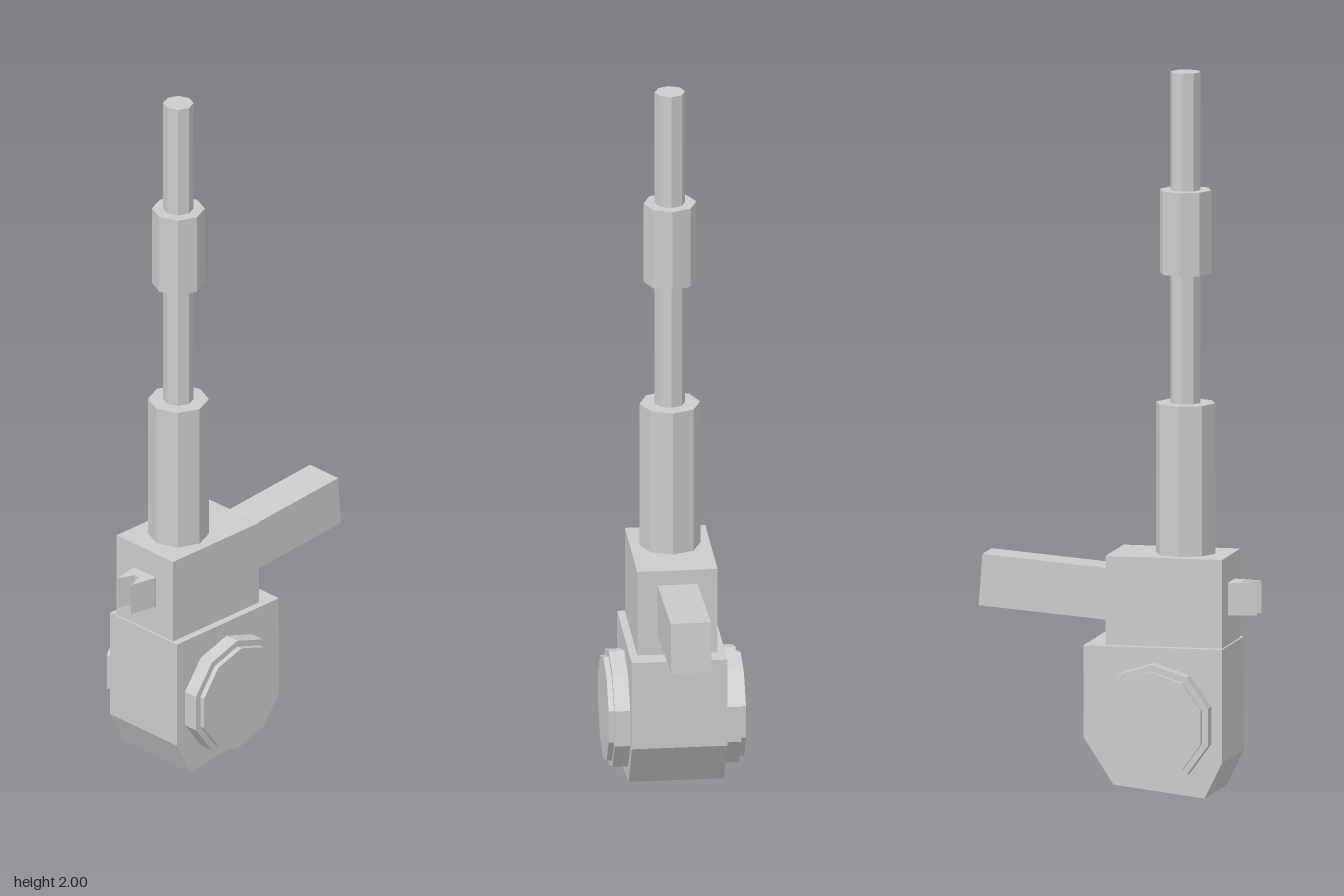
import * as THREE from 'three';

const material = new THREE.MeshStandardMaterial({ color: 0xcccccc, flatShading: true });

export function createModel() {
  const model = new THREE.Group();

  const add = (name, geometry, x = 0, y = 0, z = 0) => {
    const mesh = new THREE.Mesh(geometry, material);
    mesh.name = name;
    mesh.position.set(x, y, z);
    model.add(mesh);
  };
  const extrude = (points, depth) => new THREE.ExtrudeGeometry(
    new THREE.Shape(points.map(([a, b]) => new THREE.Vector2(a, b))),
    { depth, bevelEnabled: false });
  // Side profile given as [z, y], extruded across x
  const sideProfile = (name, points, width) =>
    add(name, extrude(points, width).rotateY(-Math.PI / 2), width / 2);
  // Upright eight-sided section of the barrel
  const barrelZ = 0.181;
  const tube = (name, radius, y0, y1) =>
    add(name, new THREE.CylinderGeometry(radius, radius, y1 - y0, 8), 0, (y0 + y1) / 2, barrelZ);

  // Lower housing with chamfered underside
  sideProfile('housing', [
    [-0.077, 0.415], [-0.077, 0.16], [0.008, 0.03],
    [0.265, 0], [0.315, 0.1], [0.315, 0.415],
  ], 0.264);

  // Upper block
  add('upperBlock', new THREE.BoxGeometry(0.222, 0.25, 0.33), 0, 0.537, 0.145);

  // Tilted handle at the back
  sideProfile('handle', [
    [-0.38, 0.648], [-0.391, 0.505], [0, 0.474], [0, 0.618],
  ], 0.111);

  // Stepped ten-sided caps on both sides
  for (const side of [1, -1]) {
    const name = side > 0 ? 'left' : 'right';
    for (const [part, radius, reach] of [['CapBase', 0.168, 0.175], ['CapFace', 0.15, 0.19]]) {
      const depth = reach - 0.1;
      const disc = new THREE.CylinderGeometry(radius, radius, depth, 10)
        .rotateY(Math.PI / 2).rotateZ(Math.PI / 2);
      add(name + part, disc, side * (0.1 + depth / 2), 0.205, 0.125);
    }
  }

  // Two-pronged fork at the front, drawn as [x, z]
  add('frontFork', extrude([
    [-0.043, 0.3], [0.043, 0.3], [0.043, 0.315], [0.027, 0.389],
    [0.009, 0.342], [-0.009, 0.342], [-0.027, 0.389], [-0.043, 0.315],
  ], 0.09).rotateX(Math.PI / 2), 0, 0.588);

  // Barrel
  tube('barrelBase', 0.084, 0.65, 1.08);
  tube('barrelRod', 0.042, 1.07, 2);
  tube('barrelSleeve', 0.073, 1.44, 1.672);

  return model;
}
